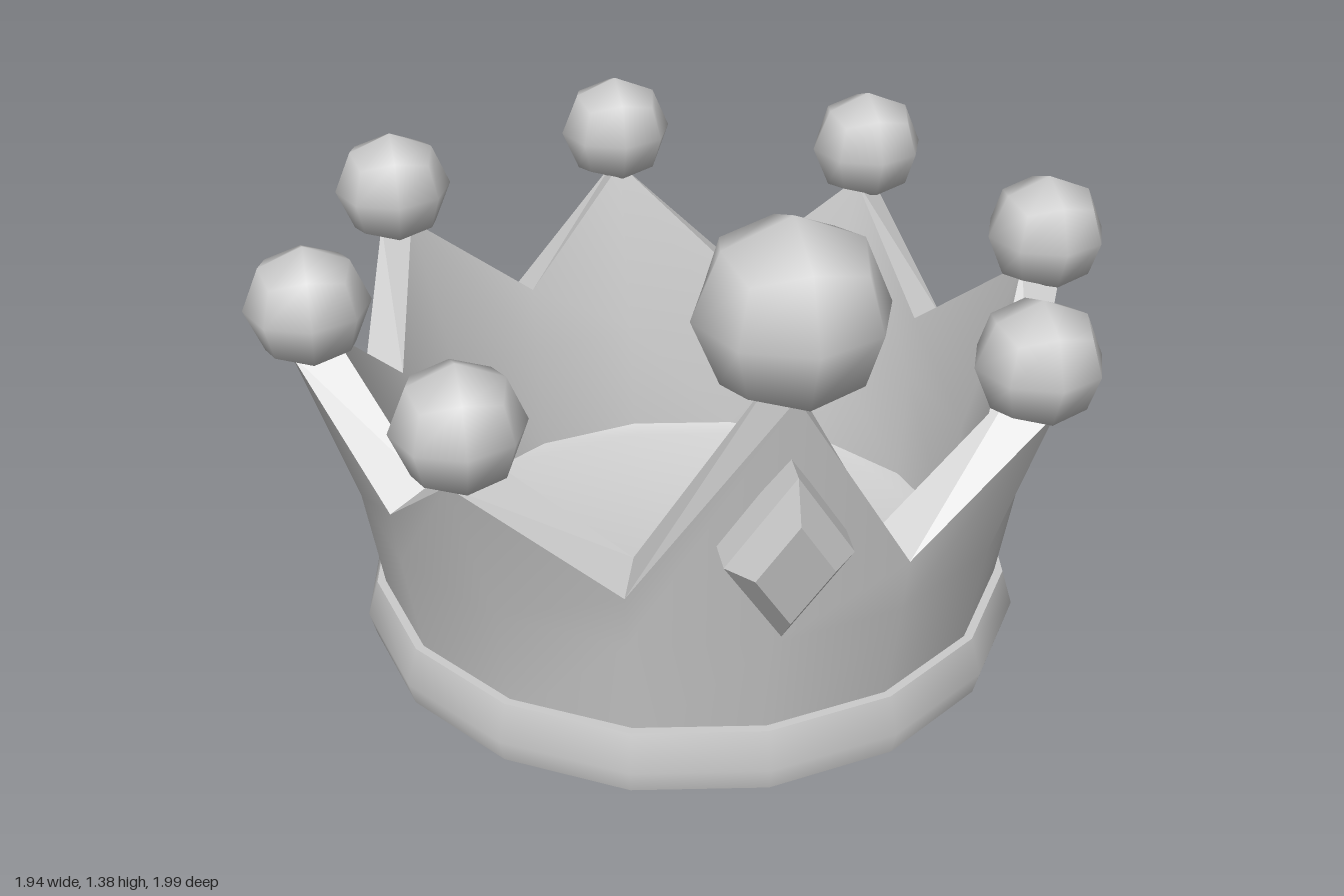
import * as THREE from 'three';
import { toCreasedNormals } from 'three/addons/utils/BufferGeometryUtils.js';

const SIDES = 16;
const metal = new THREE.MeshStandardMaterial({ color: 0xcccccc });
metal.name = 'grey metal';

function part(name, geometry) {
  const mesh = new THREE.Mesh(geometry, metal);
  mesh.name = name;
  return mesh;
}

// Ring-shaped surface through rows; each row maps a column to [radius, height]
function band(rows, inward = false) {
  const pos = [], index = [];
  for (const row of rows) {
    for (let i = 0; i < SIDES; i++) {
      const a = (i / SIDES) * Math.PI * 2;
      const [r, y] = row(i);
      pos.push(r * Math.sin(a), y, r * Math.cos(a));
    }
  }
  for (let j = 0; j < rows.length - 1; j++) {
    for (let i = 0; i < SIDES; i++) {
      const a = j * SIDES + i, b = j * SIDES + (i + 1) % SIDES;
      const c = b + SIDES, d = a + SIDES;
      if (inward) index.push(a, c, b, a, d, c);
      else index.push(a, b, c, a, c, d);
    }
  }
  const g = new THREE.BufferGeometry();
  g.setAttribute('position', new THREE.Float32BufferAttribute(pos, 3));
  g.setIndex(index);
  g.computeVertexNormals();
  return g;
}

// Low-poly ball: a subdivided cube pushed out to a sphere, with smooth normals
function ball(radius) {
  const g = new THREE.BoxGeometry(1, 1, 1, 2, 2, 2);
  const p = g.attributes.position, n = g.attributes.normal;
  const v = new THREE.Vector3();
  for (let i = 0; i < p.count; i++) {
    v.fromBufferAttribute(p, i).normalize();
    n.setXYZ(i, v.x, v.y, v.z);
    p.setXYZ(i, v.x * radius, v.y * radius, v.z * radius);
  }
  return g;
}

const lathe = (points, sides) =>
  new THREE.LatheGeometry(points.map(([x, y]) => new THREE.Vector2(x, y)), sides);

export function createModel() {
  const crown = new THREE.Group();
  crown.name = 'crown';
  const body = new THREE.Group();
  body.name = 'crownBody';
  body.position.z = -0.03;
  crown.add(body);

  // Rounded base with a closed bottom and a sunken floor
  const base = lathe([
    [0, 0], [0.68, 0], [0.745, 0.035], [0.76, 0.09], [0.735, 0.175],
    [0.655, 0.175], [0.655, 0.145], [0.617, 0.12], [0, 0.12],
  ], SIDES);
  body.add(part('baseRing', toCreasedNormals(base, 0.8)));

  // Zigzag rim: peaks on even columns, notches on odd, tall peak at the front
  const outerTop = (i) => (i === 0 ? [0.88, 1.04] : i % 2 ? [0.772, 0.535] : [0.88, 0.785]);
  const innerTop = (i) => (i === 0 ? [0.775, 1.06] : i % 2 ? [0.675, 0.57] : [0.785, 0.82]);
  body.add(part('outerWall', band([() => [0.708, 0.13], () => [0.755, 0.41], outerTop])));
  body.add(part('innerWall', band([() => [0.645, 0.13], () => [0.665, 0.41], innerTop], true)));
  body.add(part('rim', toCreasedNormals(band([outerTop, innerTop]), 0.2)));

  // Balls on the peaks
  for (let i = 0; i < 8; i++) {
    const front = i === 0;
    const a = (i / 8) * Math.PI * 2;
    const r = front ? 0.83 : 0.835;
    const mesh = part(front ? 'frontBall' : 'peakBall', ball(front ? 0.19 : 0.137));
    mesh.position.set(r * Math.sin(a), front ? 1.195 : 0.897, r * Math.cos(a));
    body.add(mesh);
  }

  // Bevelled diamond plate leaning with the front peak
  const diamond = lathe([[1, -0.06], [1, 0], [0.61, 0.046], [0, 0.046]], 4);
  diamond.scale(0.13, 1, 0.215);
  diamond.rotateX(Math.PI / 2);
  const gem = part('diamond', toCreasedNormals(diamond, 0.1));
  gem.position.set(0, 0.675, 0.856);
  gem.rotation.x = 0.216;
  body.add(gem);

  return crown;
}
